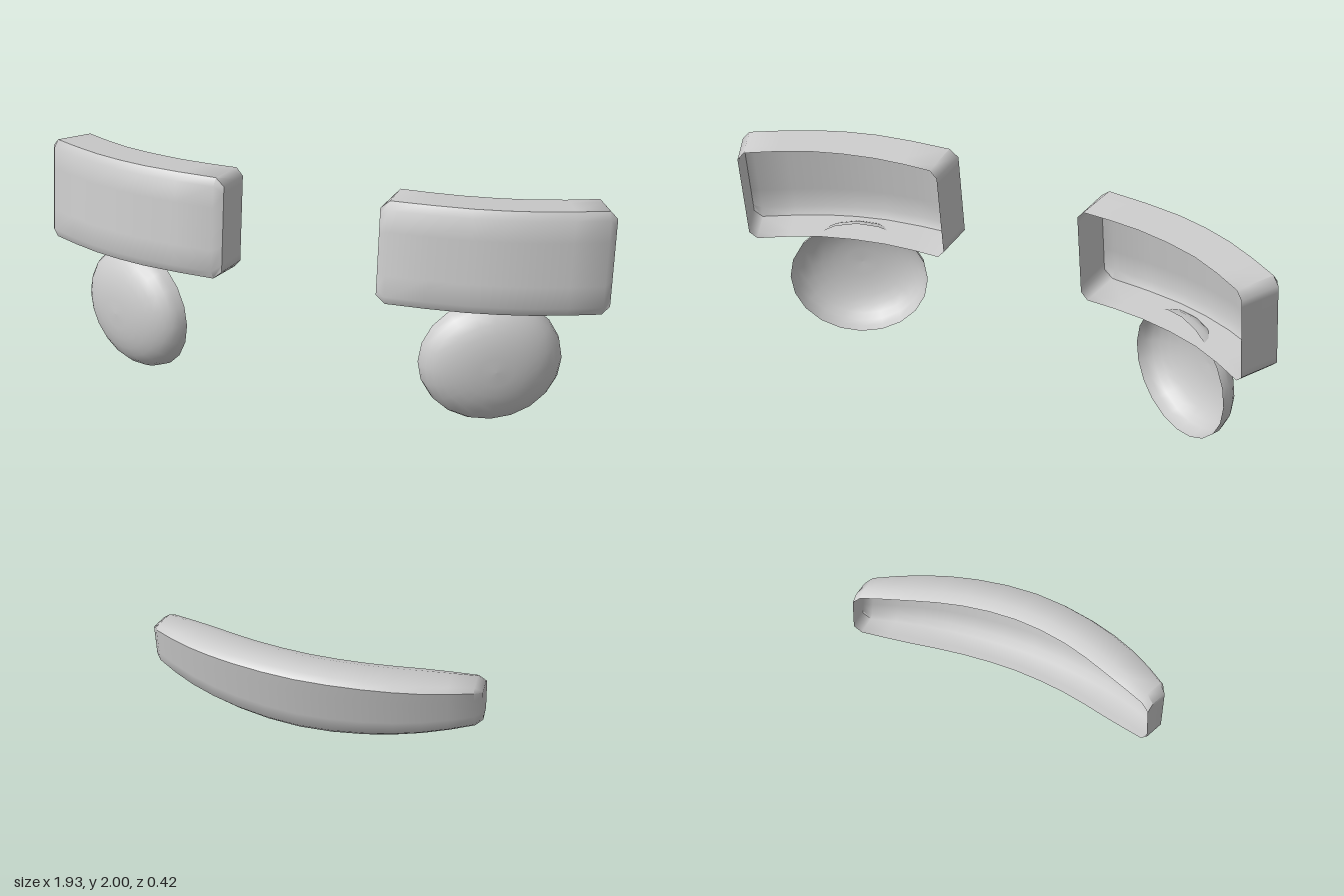
import * as THREE from 'three';
import { toCreasedNormals } from 'three/addons/utils/BufferGeometryUtils.js';

const material = new THREE.MeshStandardMaterial({ color: 0xcccccc, side: THREE.DoubleSide });

function curve(points) {
  return new THREE.CatmullRomCurve3(points.map(([x, z]) => new THREE.Vector3(x, 0, z)));
}

// Stops across one direction of an open-backed box: [position 0..1, depth 0..1]
function stops(bevel, inner, edgeDepth) {
  const start = [[0, 0], [0, 0.25], [0, edgeDepth], [bevel, 1]];
  const middle = [];
  for (let k = 1; k < inner; k++) middle.push([bevel + (1 - 2 * bevel) * k / inner, 1]);
  const end = start.map(([p, d]) => [1 - p, d]).reverse();
  return [...start, ...middle, ...end];
}

// Bent, bevelled box without a back, running from a rear path to a front path.
// place(x, v, z, depth, isEnd) turns v (-1..1) into the final height and lean.
function bentShell(name, front, back, bevel, columns, edgeDepth, place) {
  const f = curve(front), b = curve(back);
  const us = stops(bevel, columns, edgeDepth), vs = stops(0.08, 4, edgeDepth);
  const positions = [], index = [];
  us.forEach(([u, du]) => {
    const pf = f.getPoint(u), pb = b.getPoint(u);
    vs.forEach(([v, dv]) => {
      const depth = Math.min(du, dv);
      const p = pb.clone().lerp(pf, depth);
      positions.push(...place(p.x, 2 * v - 1, p.z, depth, u === 0 || u === 1));
    });
  });
  const n = vs.length;
  for (let i = 0; i < us.length - 1; i++) {
    for (let j = 0; j < n - 1; j++) {
      const a = i * n + j, c = a + n;
      index.push(a, c, c + 1, a, c + 1, a + 1);
    }
  }
  const geometry = new THREE.BufferGeometry();
  geometry.setAttribute('position', new THREE.Float32BufferAttribute(positions, 3));
  geometry.setIndex(index);
  const mesh = new THREE.Mesh(toCreasedNormals(geometry, 0.9), material);
  mesh.name = name;
  return mesh;
}

// Mirrors a path and keeps it running towards +x
function sided(points, side) {
  return side > 0 ? points : points.map(([x, z]) => [-x, z]).reverse();
}

function makeBrow(side) {
  const front = [[0.262, 0.148], [0.55, 0.118], [0.76, 0.05], [0.97, -0.065]];
  const back = [[0.255, -0.012], [0.47, -0.025], [0.7, -0.085], [0.9, -0.195]];
  return bentShell(side > 0 ? 'leftBrow' : 'rightBrow', sided(front, side), sided(back, side),
    0.035, 6, 0.9, (x, v, z, depth, isEnd) => {
      const h = v * (isEnd ? 0.14 : 0.165);
      return [x, 1.82 + 0.09 * z + h, z - 0.12 * h];
    });
}

// Shallow dome with a slightly flattened front, turned outwards
function makeEye(side) {
  const profile = [];
  for (let k = 0; k <= 8; k++) {
    const a = k / 8 * Math.PI / 2;
    profile.push(new THREE.Vector2(Math.cos(a) ** 0.88, Math.sin(a) ** 0.9));
  }
  profile[8].x = 0;
  const geometry = new THREE.LatheGeometry(profile, 20);
  geometry.rotateX(Math.PI / 2);
  geometry.scale(0.232, 0.207, 0.116);
  const eye = new THREE.Mesh(geometry, material);
  eye.name = side > 0 ? 'leftEye' : 'rightEye';
  eye.position.set(side * 0.603, 1.475, 0.02);
  eye.rotation.y = side * 0.48;
  return eye;
}

function makeMouth() {
  const front = [[0, 0.19], [0.25, 0.16], [0.45, 0.095], [0.623, 0]];
  const back = [[0, 0.04], [0.22, 0.015], [0.42, -0.045], [0.607, -0.105]];
  const both = (half) => [...sided(half.slice(1), -1), ...half];
  return bentShell('mouth', both(front), both(back), 0.025, 12, 0.86, (x, v, z, depth, isEnd) => {
    const half = 0.127 - 0.042 * (x / 0.6) ** 2 - (isEnd ? 0.02 : 0);
    // The rear lip of the upper side dips a little
    const dip = depth === 0 && v > 0 ? 0.018 * v : 0;
    const h = v * half - dip;
    return [x, 0.128 + h, z + 0.18 * h * depth];
  });
}

export function createModel() {
  const model = new THREE.Group();
  model.name = 'faceParts';
  for (const side of [1, -1]) model.add(makeBrow(side), makeEye(side));
  model.add(makeMouth());
  return model;
}
